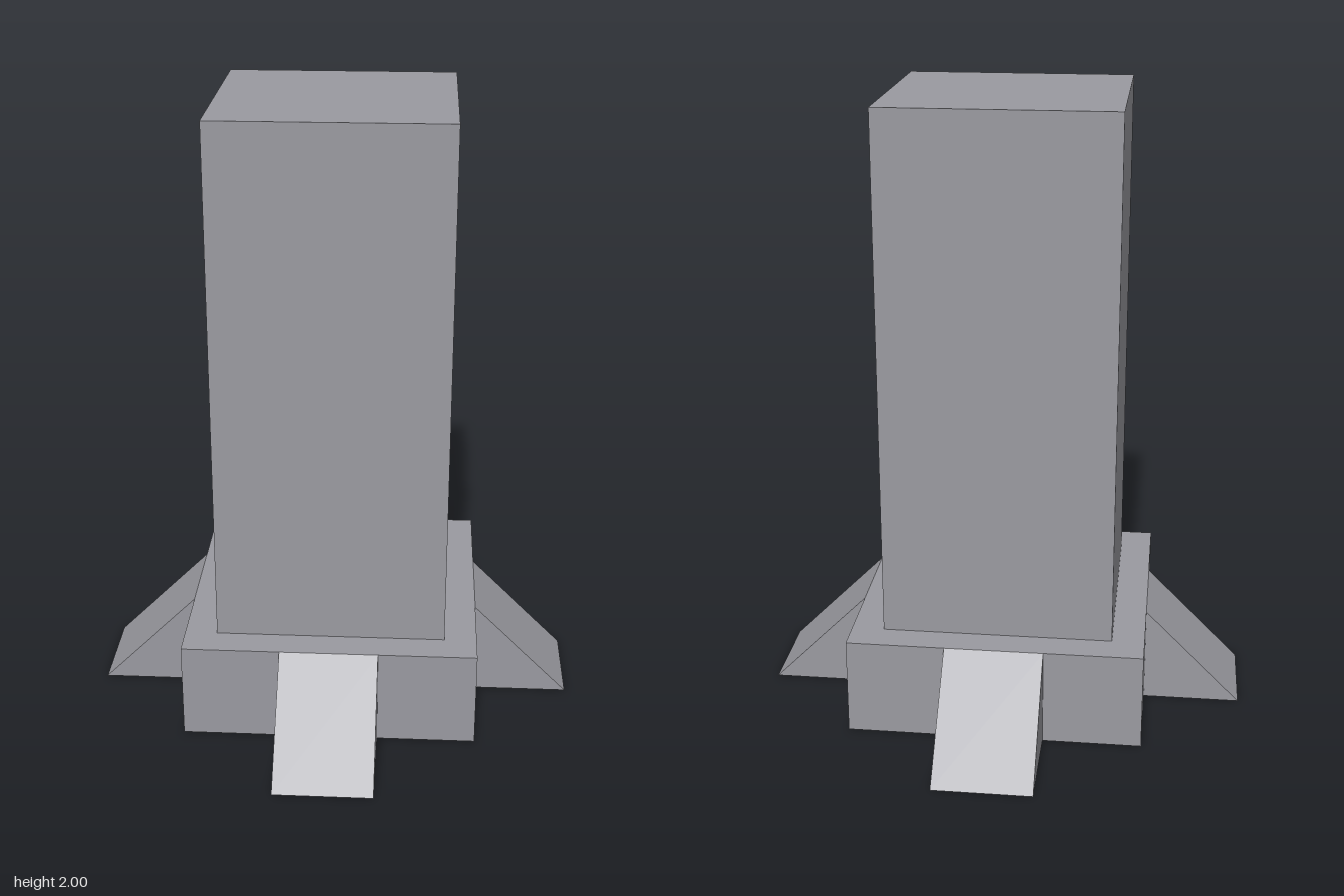
import * as THREE from 'three';

const TOWER = 0.369;  // half width of the tower
const BASE = 0.473;   // half width of the base
const FOOT = 0.788;   // reach of the feet
const HALF = 0.158;   // half width of a foot
const H = 0.315;      // base height

// Flat-faced geometry from polygons listed counter-clockwise
function faces(polygons) {
  const pos = [];
  for (const p of polygons) {
    for (let i = 1; i < p.length - 1; i++) pos.push(...p[0], ...p[i], ...p[i + 1]);
  }
  const g = new THREE.BufferGeometry();
  g.setAttribute('position', new THREE.Float32BufferAttribute(pos, 3));
  g.computeVertexNormals();
  return g;
}

export function createModel() {
  const group = new THREE.Group();
  const stone = new THREE.MeshStandardMaterial({ color: 0x9a9aa0, side: THREE.DoubleSide });
  stone.name = 'grey stone';

  function add(name, geometry, parent = group) {
    const mesh = new THREE.Mesh(geometry, stone);
    mesh.name = name;
    parent.add(mesh);
    return mesh;
  }

  // Tall square tower
  add('tower', new THREE.BoxGeometry(2 * TOWER, 2 - H, 2 * TOWER)).position.y = (2 + H) / 2;

  // Top of the hollow base
  add('baseTop', new THREE.PlaneGeometry(2 * BASE, 2 * BASE).rotateX(-Math.PI / 2)).position.y = H;

  // Base walls either side of a foot; the base is open below and into the feet
  const wall = faces([
    [[-BASE, 0, BASE], [-HALF, 0, BASE], [-HALF, H, BASE], [-BASE, H, BASE]],
    [[HALF, 0, BASE], [BASE, 0, BASE], [BASE, H, BASE], [HALF, H, BASE]],
  ]);

  // Wedge foot: slope, underside and two cheeks
  const foot = faces([
    [[-HALF, 0, FOOT], [HALF, 0, FOOT], [HALF, H, BASE], [-HALF, H, BASE]],
    [[-HALF, 0, BASE], [HALF, 0, BASE], [HALF, 0, FOOT], [-HALF, 0, FOOT]],
    [[HALF, 0, FOOT], [HALF, 0, BASE], [HALF, H, BASE]],
    [[-HALF, 0, BASE], [-HALF, 0, FOOT], [-HALF, H, BASE]],
  ]);

  // Four matching sides
  ['front', 'left', 'back', 'right'].forEach((name, i) => {
    const side = new THREE.Group();
    side.name = name + 'Side';
    side.rotation.y = i * Math.PI / 2;
    add(name + 'Wall', wall, side);
    add(name + 'Foot', foot, side);
    group.add(side);
  });

  return group;
}
